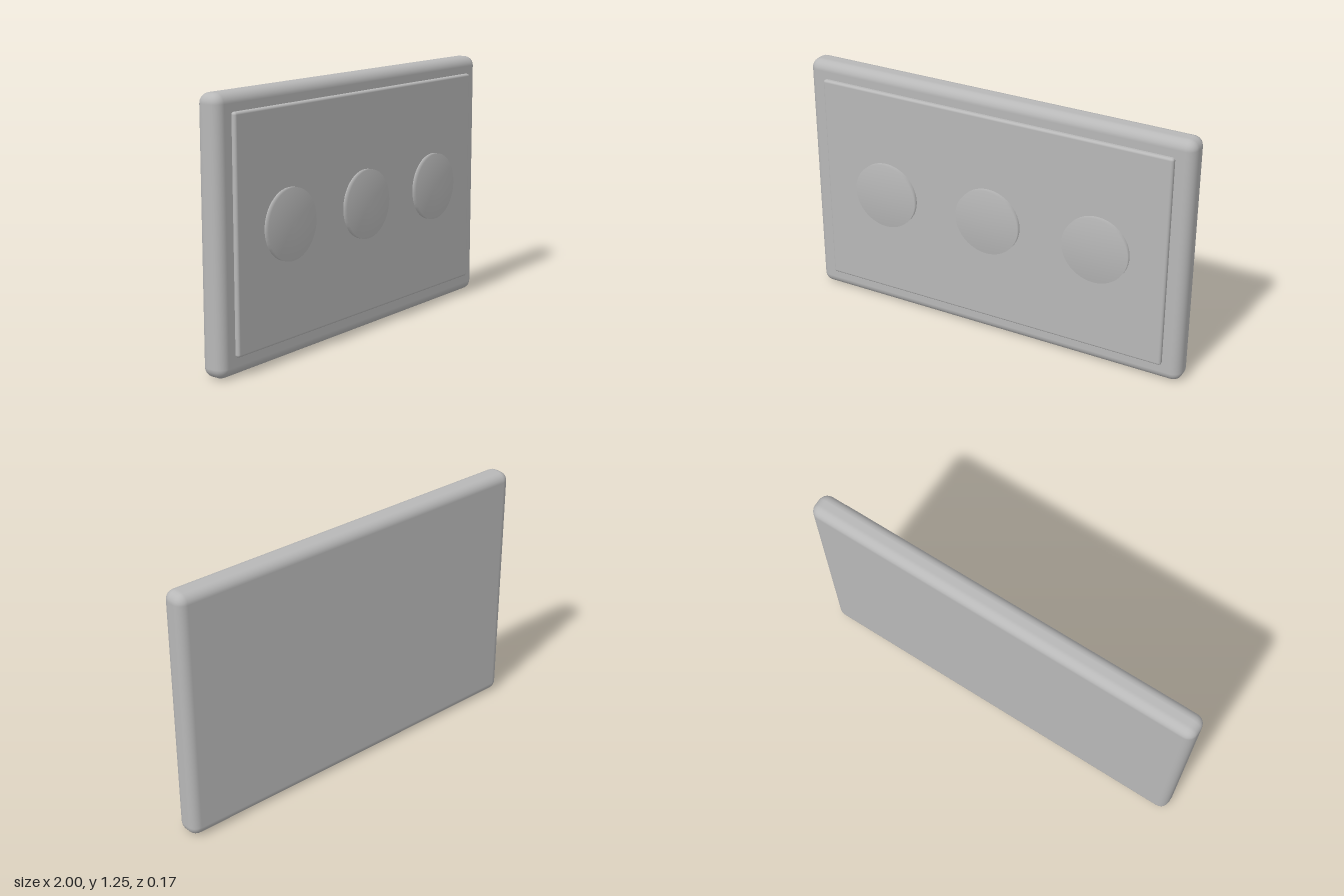
import * as THREE from 'three';
import { RoundedBoxGeometry } from 'three/addons/geometries/RoundedBoxGeometry.js';

export function createModel() {
  const model = new THREE.Group();
  const grey = new THREE.MeshStandardMaterial({ color: 0xb8b8b8 });
  grey.name = 'grey';

  function add(name, geometry, x, y, z) {
    const mesh = new THREE.Mesh(geometry, grey);
    mesh.name = name;
    mesh.position.set(x, y, z);
    model.add(mesh);
    return mesh;
  }

  // Thick backing plate with rounded edges
  add('backPlate', new RoundedBoxGeometry(2, 1.25, 0.125, 3, 0.047), 0, 0.625, -0.0205);

  // Thin raised panel on the front
  add('frontPanel', new RoundedBoxGeometry(1.82, 1.076, 0.04, 2, 0.012), 0, 0.628, 0.042);

  // Three flat round buttons, softly shaded over the rim
  const profile = [[0.167, 0], [0.167, 0.027], [0, 0.027]].map(([r, h]) => new THREE.Vector2(r, h));
  const disc = new THREE.LatheGeometry(profile, 48);
  disc.rotateX(Math.PI / 2);
  [['rightButton', -0.563], ['middleButton', 0], ['leftButton', 0.563]].forEach(([name, x]) => {
    add(name, disc, x, 0.628, 0.059);
  });

  return model;
}
